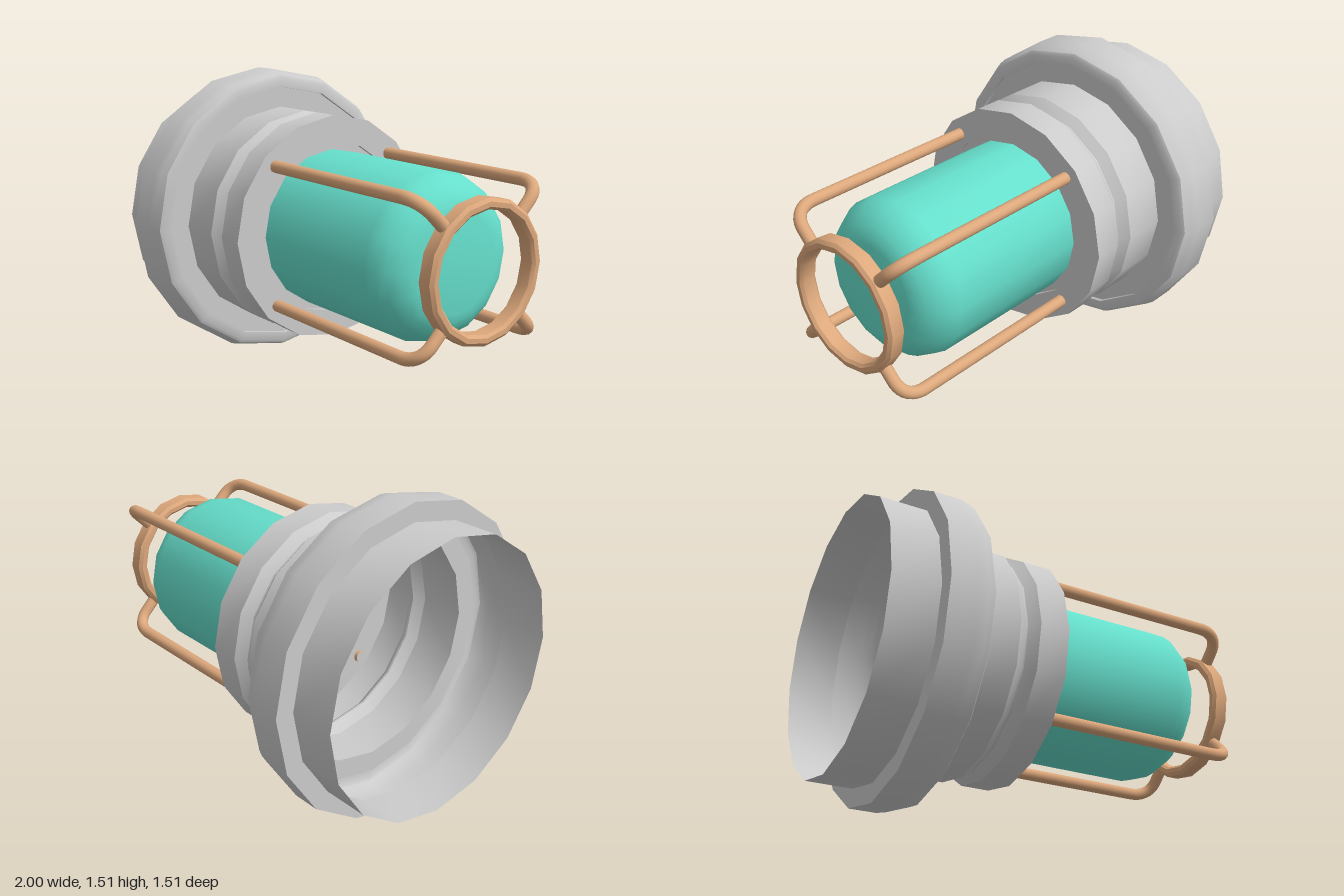
import * as THREE from 'three';
import { toCreasedNormals } from 'three/addons/utils/BufferGeometryUtils.js';

const SIDES = 16;

// Revolve [x, radius] points about the x axis, keeping sharp profile corners
function turned(name, profile, material) {
  const points = profile.map(([x, r]) => new THREE.Vector2(r, x));
  const geometry = new THREE.LatheGeometry(points, SIDES).rotateZ(-Math.PI / 2);
  const mesh = new THREE.Mesh(toCreasedNormals(geometry, 0.6), material);
  mesh.name = name;
  return mesh;
}

export function createModel() {
  const model = new THREE.Group();
  model.name = 'cagedLamp';
  model.position.y = 0.757;

  const grey = new THREE.MeshStandardMaterial({ color: 0xcccccc, side: THREE.DoubleSide });
  const glass = new THREE.MeshStandardMaterial({ color: 0x66dfcc, side: THREE.DoubleSide });
  const copper = new THREE.MeshStandardMaterial({ color: 0xdda87c });

  // Hollow stepped housing, open at the back
  model.add(turned('housing', [
    [-1, 0.666], [-0.775, 0.666],                              // rear sleeve
    [-0.775, 0.757], [-0.64, 0.757], [-0.595, 0.747],          // collar
    [-0.56, 0.732], [-0.55, 0.715], [-0.55, 0.67],
    [-0.57, 0.67], [-0.57, 0.565],                             // recessed collar face
    [-0.345, 0.565], [-0.3, 0.525], [-0.29, 0.525], [-0.245, 0.565], // neck groove
    [-0.1, 0.565], [-0.1, 0.43], [-0.12, 0.43], [-0.12, 0.37], // front face and seat
  ], grey));

  // Domed glass cover
  model.add(turned('glassCover', [
    [-0.12, 0.395], [0.64, 0.395], [0.69, 0.381], [0.735, 0.352],
    [0.772, 0.312], [0.793, 0.27], [0.802, 0.23], [0.803, 0],
  ], glass));

  // Guard ring in front of the glass, with bevelled edges
  model.add(turned('guardRing', [
    [0.918, 0.275], [0.905, 0.288], [0.905, 0.31], [0.918, 0.326],
    [0.982, 0.326], [0.995, 0.31], [0.995, 0.288], [0.982, 0.275], [0.918, 0.275],
  ], copper));

  // Four bent rods from the housing to the ring
  const path = new THREE.CurvePath();
  const v = (x, y) => new THREE.Vector3(x, y, 0);
  path.add(new THREE.LineCurve3(v(-0.12, 0.488), v(0.83, 0.488)));
  path.add(new THREE.CubicBezierCurve3(v(0.83, 0.488), v(0.9, 0.488), v(0.95, 0.455), v(0.95, 0.385)));
  path.add(new THREE.LineCurve3(v(0.95, 0.385), v(0.95, 0.305)));
  const rodGeometry = new THREE.TubeGeometry(path, 64, 0.03, 12);
  for (let i = 0; i < 4; i++) {
    const rod = new THREE.Mesh(rodGeometry, copper);
    rod.name = 'guardRod';
    rod.rotation.x = Math.PI / 4 + i * Math.PI / 2;
    model.add(rod);
  }

  const group = new THREE.Group();
  group.add(model);
  return group;
}
